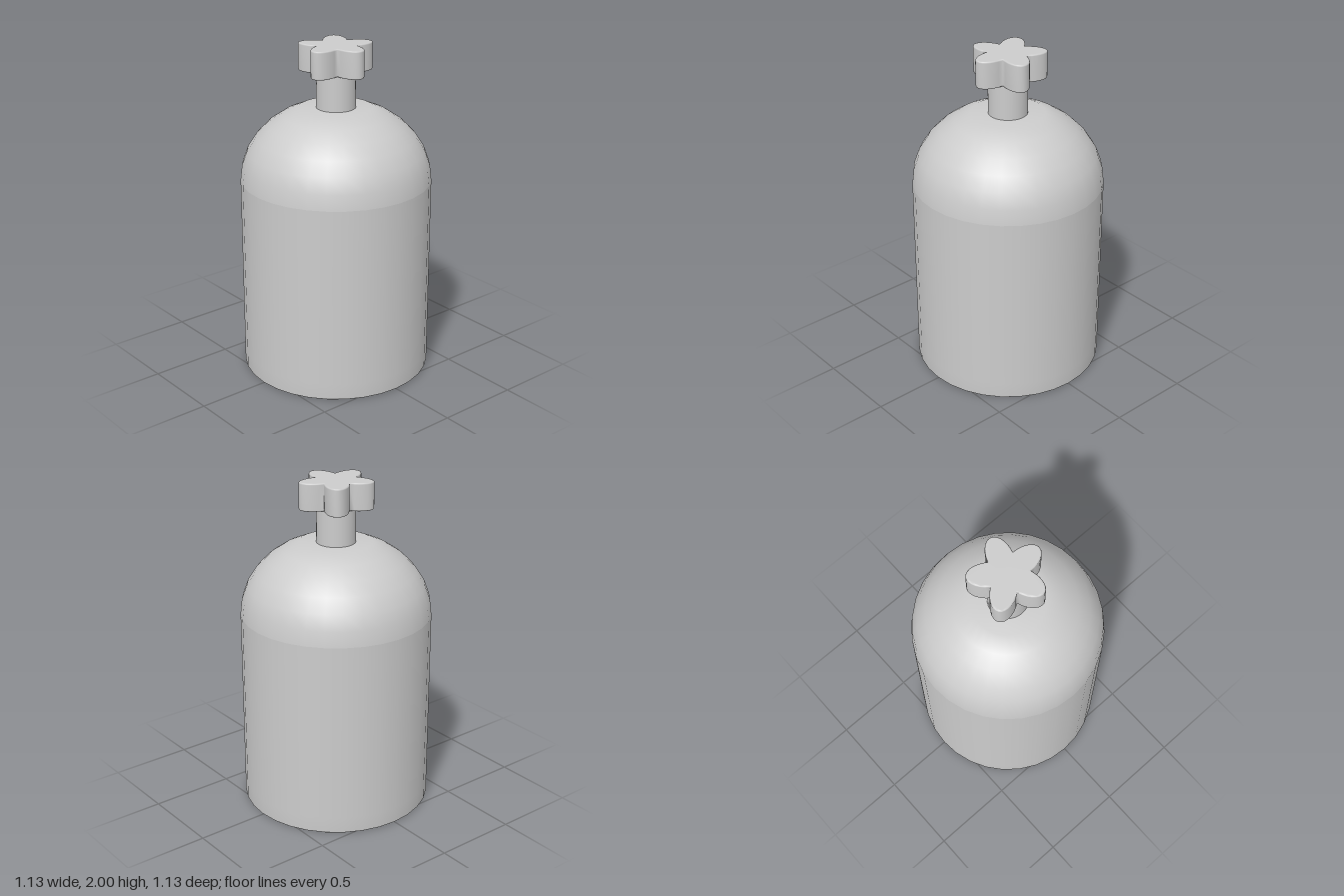
import * as THREE from 'three';
import { mergeVertices } from 'three/addons/utils/BufferGeometryUtils.js';

const SIDES = 32, R = 0.567, SHOULDER = 1.19;

export function createModel() {
  const group = new THREE.Group();
  const material = new THREE.MeshStandardMaterial({ color: 0xcccccc });
  const add = (name, geometry, y = 0) => {
    const mesh = new THREE.Mesh(geometry, material);
    mesh.name = name;
    mesh.position.y = y;
    group.add(mesh);
  };
  const lathe = (points) =>
    new THREE.LatheGeometry(points.map(([r, y]) => new THREE.Vector2(r, y)), SIDES);

  // Tank wall with a softened bottom edge
  add('tankWall', lathe([[R - 0.005, 0], [R, 0.005], [R, 0.1], [R, SHOULDER]]));
  add('tankBase', new THREE.CircleGeometry(R - 0.005, SIDES).rotateX(Math.PI / 2));

  // Flattened elliptical dome, cut off flat under the neck
  const dome = [];
  for (let i = 0; i <= 6; i++) {
    const a = (i * Math.PI) / 16;
    dome.push([R * Math.cos(a), SHOULDER + 0.47 * Math.sin(a)]);
  }
  dome.push([0, dome[6][1]]);
  add('dome', lathe(dome));

  // Valve neck
  add('neck', new THREE.CylinderGeometry(0.116, 0.116, 0.25, SIDES), 1.735);

  // Five-lobed valve handle: half ellipses meeting in the valleys
  const outline = [];
  const lobeCentre = 0.1, halfWidth = lobeCentre * Math.tan(Math.PI / 5);
  const steps = 14;
  for (let lobe = 0; lobe < 5; lobe++) {
    for (let i = 0; i < steps; i++) {
      const t = -Math.PI / 2 + (i / steps) * Math.PI;
      const p = new THREE.Vector2(lobeCentre + 0.125 * Math.cos(t), halfWidth * Math.sin(t));
      outline.push(p.rotateAround(new THREE.Vector2(), (lobe * Math.PI * 2) / 5));
    }
  }
  const bevel = 0.008, height = 0.165;
  let handle = new THREE.ExtrudeGeometry(new THREE.Shape(outline), {
    depth: height - 2 * bevel, bevelThickness: bevel, bevelSize: bevel,
    bevelOffset: -bevel, bevelSegments: 2,
  });
  handle.deleteAttribute('uv');
  handle.deleteAttribute('normal');
  handle = mergeVertices(handle, 1e-4);
  handle.computeVertexNormals();
  handle.rotateX(-Math.PI / 2);
  add('valveHandle', handle, 2 - height + bevel);

  return group;
}
